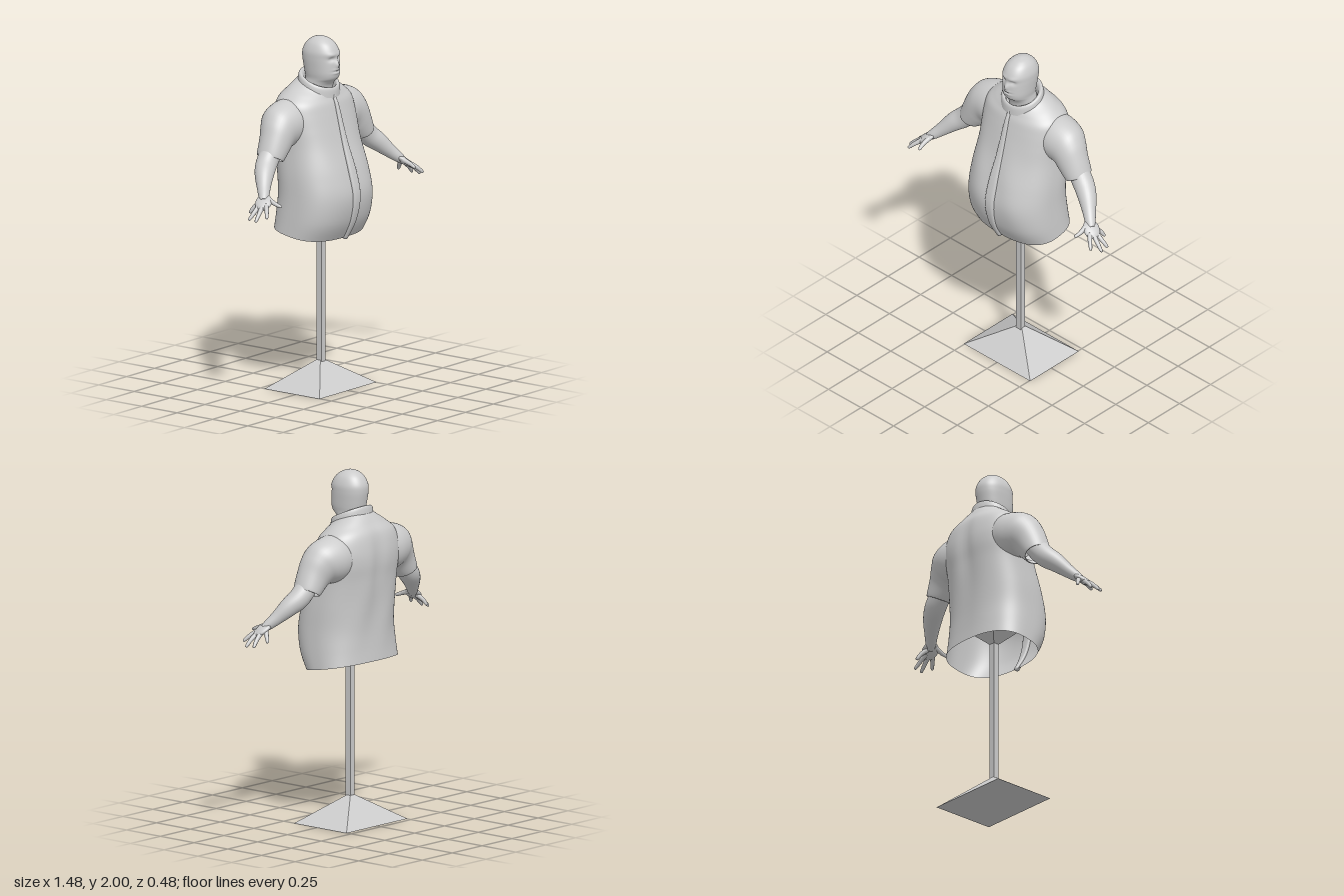
import * as THREE from 'three';

const V = (x, y, z) => new THREE.Vector3(x, y, z);
const bump = (d, w) => Math.exp(-(d * d) / (w * w));
const smooth = new THREE.MeshStandardMaterial({ color: 0xcccccc });
const cloth = new THREE.MeshStandardMaterial({ color: 0xcccccc, side: THREE.DoubleSide });
const flat = new THREE.MeshStandardMaterial({ color: 0xcccccc, flatShading: true });

function mesh(name, geometry, material) {
  const m = new THREE.Mesh(geometry, material);
  m.name = name;
  return m;
}

// Catmull-Rom resampling of rows of numbers, n steps per span
function resample(rows, n) {
  const out = [];
  const at = (i) => rows[Math.min(Math.max(i, 0), rows.length - 1)];
  for (let i = 0; i < rows.length - 1; i++) {
    const [a, b, c, d] = [at(i - 1), at(i), at(i + 1), at(i + 2)];
    for (let k = 0; k < n; k++) {
      const t = k / n;
      out.push(b.map((p, j) => {
        const cubic = 3 * (p - c[j]) + d[j] - a[j];
        const square = 2 * a[j] - 5 * p + 4 * c[j] - d[j];
        return p + 0.5 * t * (c[j] - a[j] + t * (square + t * cubic));
      }));
    }
  }
  out.push(at(rows.length - 1));
  return out;
}

// Skin over closed rings, optionally capped at both ends
function loft(rings, capped) {
  const n = rings[0].length, pos = [], idx = [];
  rings.forEach((r) => r.forEach((p) => pos.push(p.x, p.y, p.z)));
  for (let j = 0; j < rings.length - 1; j++) {
    for (let i = 0; i < n; i++) {
      const a = j * n + i, b = j * n + (i + 1) % n;
      idx.push(a, b, b + n, a, b + n, a + n);
    }
  }
  if (capped) {
    [0, rings.length - 1].forEach((j) => {
      const c = V(0, 0, 0), id = pos.length / 3;
      rings[j].forEach((p) => c.addScaledVector(p, 1 / n));
      pos.push(c.x, c.y, c.z);
      for (let i = 0; i < n; i++) {
        const a = j * n + i, b = j * n + (i + 1) % n;
        if (j) idx.push(a, b, id); else idx.push(b, a, id);
      }
    });
  }
  const g = new THREE.BufferGeometry();
  g.setAttribute('position', new THREE.Float32BufferAttribute(pos, 3));
  g.setIndex(idx);
  g.computeVertexNormals();
  return g;
}

// Level rings from rows [y, half width, front z, back z, tilt, roundness]
function levelRings(rows, seg, steps, warp) {
  return resample(rows, steps).map(([y, hw, zf, zb, tilt, e = 2]) => {
    const ring = [];
    const pow = (s) => Math.sign(s) * Math.abs(s) ** (2 / e);
    for (let i = 0; i < seg; i++) {
      const a = (i / seg) * Math.PI * 2;
      const z = (zf + zb) / 2 + pow(Math.cos(a)) * (zf - zb) / 2;
      const p = V(hw * pow(Math.sin(a)), y + tilt * z, z);
      if (warp) warp(p, Math.cos(a));
      ring.push(p);
    }
    return ring;
  });
}

// Round tapered limb through rows [x, y, z, radius]
function limb(rows, side, seg, steps) {
  const pts = resample(rows, steps);
  const centre = pts.map((p) => V(p[0] * side, p[1], p[2]));
  return loft(pts.map((p, i) => {
    const t = centre[Math.min(i + 1, pts.length - 1)].clone().sub(centre[Math.max(i - 1, 0)]).normalize();
    const u = V(0, 1, 0).addScaledVector(t, -t.y).normalize();
    const v = t.clone().cross(u);
    return Array.from({ length: seg }, (_, k) => {
      const a = (k / seg) * Math.PI * 2;
      return centre[i].clone().addScaledVector(u, Math.cos(a) * p[3]).addScaledVector(v, Math.sin(a) * p[3]);
    });
  }), true);
}

// Sleeve rings span an outer and an inner point: [ox, oy, ix, iy, z, depth]
function sleeve(side) {
  const rows = [
    [0.12, 1.67, 0.14, 1.4, -0.085, 0.115], [0.24, 1.668, 0.22, 1.4, -0.085, 0.125],
    [0.345, 1.635, 0.255, 1.4, -0.08, 0.115], [0.4, 1.575, 0.27, 1.4, -0.07, 0.102],
    [0.435, 1.5, 0.295, 1.38, -0.062, 0.09], [0.47, 1.41, 0.34, 1.34, -0.06, 0.08],
    [0.462, 1.412, 0.346, 1.346, -0.06, 0.073], [0.445, 1.45, 0.32, 1.37, -0.06, 0.072],
  ];
  const rings = resample(rows, 5).map(([ox, oy, ix, iy, z, depth]) => {
    return Array.from({ length: 40 }, (_, k) => {
      const a = (k / 40) * Math.PI * 2, c = Math.cos(a) / 2;
      const x = (ox + ix) / 2 + c * (ox - ix);
      const y = (oy + iy) / 2 + c * (oy - iy);
      return V(side * x, y, z + side * Math.sin(a) * depth);
    });
  });
  return loft(rings, false);
}

function hand(side) {
  const g = new THREE.Group();
  g.name = side > 0 ? 'leftHand' : 'rightHand';
  // Palm: flattened ball lying in the plane of the fingers
  const along = V(0.74 * side, -0.55, 0.37).normalize();
  const across = V(-0.35 * side, 0, 0.9);
  across.addScaledVector(along, -across.dot(along)).normalize();
  const palm = new THREE.SphereGeometry(1, 24, 16).scale(0.06, 0.047, 0.02);
  palm.applyMatrix4(new THREE.Matrix4().makeBasis(along, across, along.clone().cross(across))
    .setPosition(0.63 * side, 1.178, 0.07));
  g.add(mesh('palm', palm, smooth));
  const fingers = {
    thumb: [[0.6, 1.195, 0.075], [0.605, 1.175, 0.13], [0.597, 1.16, 0.172]],
    indexFinger: [[0.64, 1.168, 0.095], [0.672, 1.142, 0.125], [0.702, 1.11, 0.15]],
    middleFinger: [[0.65, 1.165, 0.08], [0.697, 1.13, 0.092], [0.738, 1.09, 0.098]],
    ringFinger: [[0.65, 1.165, 0.06], [0.695, 1.13, 0.055], [0.732, 1.092, 0.046]],
    littleFinger: [[0.63, 1.175, 0.045], [0.652, 1.148, 0.02], [0.667, 1.115, 0.0]],
  };
  for (const [name, [a, b, c]] of Object.entries(fingers)) {
    const nearTip = b.map((q, i) => q + (c[i] - q) * 0.85);
    g.add(mesh(name, limb([[...a, 0.015], [...b, 0.012], [...nearTip, 0.0085], [...c, 0.002]], side, 12, 4), smooth));
  }
  return g;
}

export function createModel() {
  const model = new THREE.Group();

  // Stand
  const base = new THREE.CylinderGeometry(0.05, Math.SQRT1_2, 0.15, 4).rotateY(Math.PI / 4);
  base.scale(0.51, 1, 0.39).translate(0, 0.075, -0.025);
  model.add(mesh('standBase', base, flat));
  model.add(mesh('standPost', new THREE.BoxGeometry(0.036, 0.84, 0.036).translate(0, 0.56, -0.02), flat));
  const holder = new THREE.CylinderGeometry(0.16, 0.025, 0.09, 4).rotateY(Math.PI / 4).translate(0, 1.015, -0.02);
  model.add(mesh('standHolder', holder, flat));

  // Shirt body with a spine hollow and soft folds
  const body = [
    [0.9, 0.287, 0.148, -0.22, -0.18, 2.6], [1.0, 0.284, 0.205, -0.215, -0.1, 2.6],
    [1.12, 0.279, 0.23, -0.214, -0.02, 2.5], [1.25, 0.274, 0.203, -0.22, 0, 2.5],
    [1.4, 0.262, 0.152, -0.235, 0, 2.5], [1.5, 0.264, 0.122, -0.246, 0, 2.5],
    [1.58, 0.266, 0.1, -0.242, 0, 2.4], [1.64, 0.25, 0.085, -0.222, -0.1, 2.3],
    [1.68, 0.2, 0.07, -0.185, -0.2, 2.1], [1.71, 0.14, 0.064, -0.15, -0.35, 2],
    [1.735, 0.1, 0.062, -0.12, -0.45, 2],
  ];
  const folds = (p, facing) => {
    const back = Math.max(0, -facing);
    p.z += back * 0.016 * bump(p.x, 0.05) * bump(p.y - 1.5, 0.18);
    p.z += 0.004 * facing * Math.sin(p.x * 26 + p.y * 9) * bump(p.y - 1.25, 0.25);
  };
  model.add(mesh('shirtBody', loft(levelRings(body, 96, 6, folds), false), cloth));

  // Button placket running down the front
  const halfWidths = [0.012, 0.024, 0.03, 0.03, 0.022, 0.018, 0.015, 0.012, 0.01, 0.008];
  const placket = halfWidths.map((w, i) => {
    const [y, , zf, , tilt] = body[i];
    return [y - (i ? 0 : 0.006), w, zf + 0.013, zf - 0.015, tilt, 3];
  });
  model.add(mesh('placket', loft(levelRings(placket, 24, 6), true), smooth));

  // Folded collar
  const collar = [
    [1.695, 0.128, 0.078, -0.148, -0.45], [1.735, 0.122, 0.076, -0.142, -0.45],
    [1.748, 0.11, 0.068, -0.13, -0.45], [1.735, 0.096, 0.056, -0.115, -0.45],
    [1.69, 0.09, 0.05, -0.11, -0.45],
  ];
  model.add(mesh('collar', loft(levelRings(collar, 64, 4), false), cloth));

  // Head and neck, with the face raised and sunk by soft bumps
  const head = [
    [1.66, 0.076, 0.03, -0.11], [1.72, 0.078, 0.042, -0.11], [1.748, 0.076, 0.06, -0.11],
    [1.768, 0.076, 0.083, -0.11], [1.795, 0.08, 0.092, -0.115], [1.83, 0.083, 0.092, -0.122],
    [1.88, 0.086, 0.089, -0.13], [1.92, 0.084, 0.086, -0.128], [1.96, 0.068, 0.062, -0.107],
    [1.985, 0.044, 0.028, -0.078], [1.996, 0.02, -0.002, -0.05], [2.0, 0.003, -0.022, -0.028],
  ].map((r) => [...r, 0, 2.2]);
  const face = (p, facing) => {
    if (facing <= 0) return;
    const x = Math.abs(p.x), y = p.y;
    p.z += 0.017 * bump(x, 0.013) * bump(y - 1.85, 0.022)
      - 0.011 * bump(x - 0.032, 0.018) * bump(y - 1.882, 0.013)
      + 0.005 * bump(x - 0.03, 0.03) * bump(y - 1.906, 0.012)
      + 0.005 * bump(x, 0.025) * bump(y - 1.822, 0.006)
      - 0.005 * bump(x, 0.028) * bump(y - 1.812, 0.005)
      + 0.005 * bump(x, 0.024) * bump(y - 1.802, 0.006);
  };
  model.add(mesh('head', loft(levelRings(head, 96, 8, face), true), smooth));

  // Sleeves, arms and hands
  const arm = [
    [0.37, 1.44, -0.06, 0.06], [0.45, 1.35, -0.05, 0.06], [0.51, 1.298, -0.02, 0.053],
    [0.565, 1.24, 0.02, 0.038], [0.6, 1.205, 0.048, 0.03], [0.625, 1.183, 0.065, 0.022],
  ];
  for (const side of [1, -1]) {
    const s = side > 0 ? 'left' : 'right';
    model.add(mesh(s + 'Sleeve', sleeve(side), cloth));
    model.add(mesh(s + 'Arm', limb(arm, side, 32, 5), smooth));
    model.add(hand(side));
  }
  return model;
}
